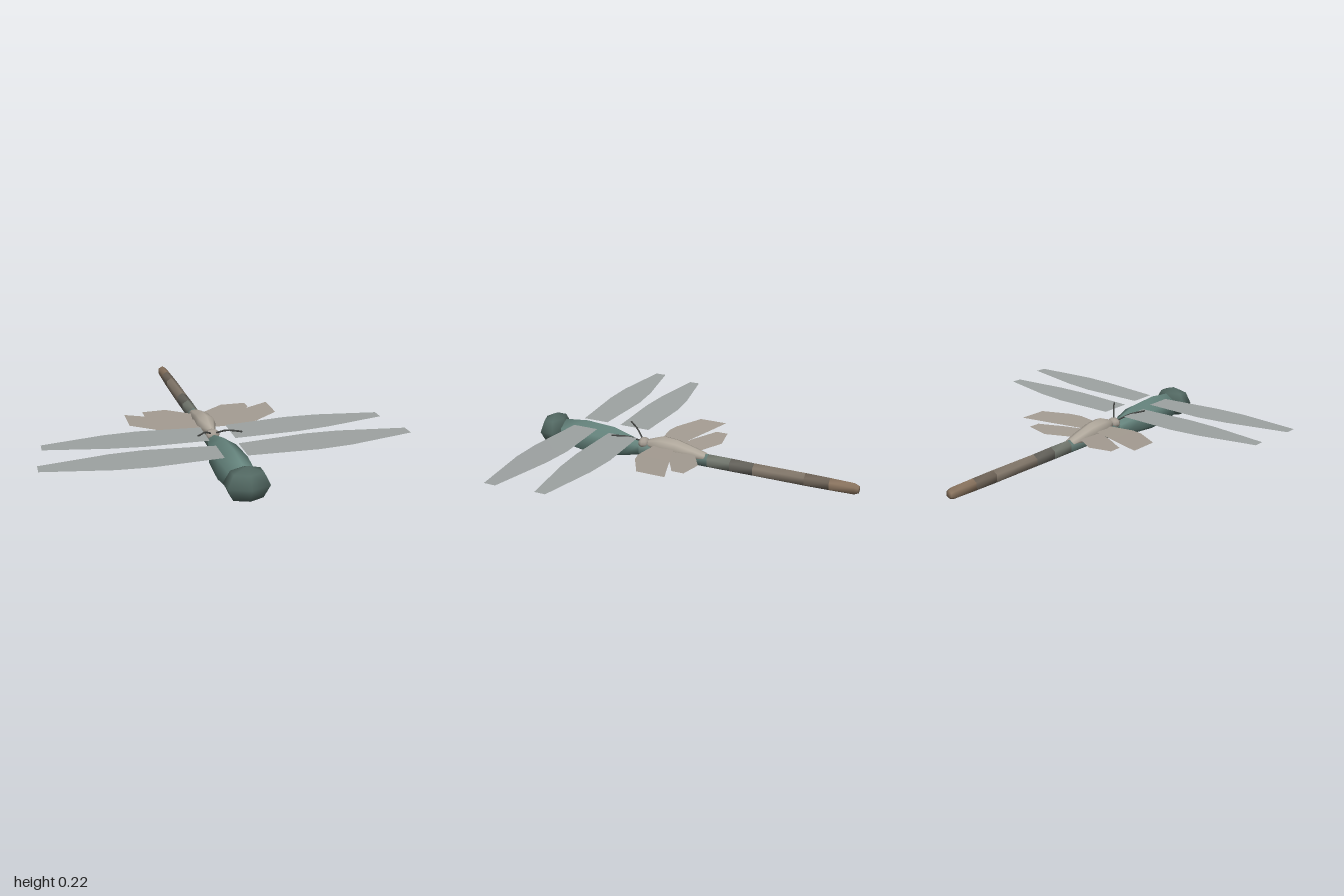
import * as THREE from 'three';

const TEAL = 0x66857e, DARK_TEAL = 0x526862, GLASS = 0x9ea3a2, BEIGE = 0xa59d93, DARK = 0x454745;

function indexed(positions, index) {
  const g = new THREE.BufferGeometry();
  g.setAttribute('position', new THREE.Float32BufferAttribute(positions, 3));
  g.setIndex(index);
  g.computeVertexNormals();
  return g;
}

// Skin over rings running front to back; each section is [z, centreY, radiusX, radiusY]
function loft(sections, sides = 6) {
  const pos = [], idx = [];
  for (const [z, cy, rx, ry] of sections)
    for (let i = 0; i < sides; i++) {
      const a = (i / sides) * Math.PI * 2;
      pos.push(rx * Math.sin(a), cy + ry * Math.cos(a), z);
    }
  for (let s = 0; s < sections.length - 1; s++)
    for (let i = 0; i < sides; i++) {
      const a = s * sides + i, b = s * sides + ((i + 1) % sides);
      idx.push(a, b, a + sides, b, b + sides, a + sides);
    }
  return indexed(pos, idx);
}

// Thin sheet over ribs; each rib is [x, y, backZ, frontZ]
function sheet(ribs) {
  const pos = [], idx = [];
  for (const [x, y, z0, z1] of ribs) pos.push(x, y, z0, x, y, (z0 + z1) / 2, x, y, z1);
  for (let r = 0; r < ribs.length - 1; r++)
    for (let k = 0; k < 2; k++) {
      const a = r * 3 + k, b = a + 3;
      idx.push(a, a + 1, b, a + 1, b + 1, b);
    }
  return indexed(pos, idx);
}

export function createModel() {
  const root = new THREE.Group();
  root.name = 'dragonflyWithButterfly';

  const add = (name, geometry, color, side = THREE.FrontSide) => {
    const mesh = new THREE.Mesh(geometry, new THREE.MeshStandardMaterial({ color, side }));
    mesh.name = name;
    root.add(mesh);
    return mesh;
  };
  const addPair = (name, geometry, color) => {
    add('left' + name, geometry, color, THREE.DoubleSide);
    add('right' + name, geometry, color, THREE.DoubleSide).scale.x = -1;
  };

  // Dragonfly head
  const head = add('dragonflyHead', new THREE.SphereGeometry(1, 6, 4).rotateY(Math.PI / 2), DARK_TEAL);
  head.scale.set(0.125, 0.095, 0.083);
  head.position.set(0, 0.13, 0.914);

  // Dragonfly thorax
  add('dragonflyThorax', loft([
    [0.84, 0.115, 0, 0], [0.835, 0.115, 0.078, 0.085], [0.68, 0.11, 0.092, 0.106],
    [0.5, 0.112, 0.085, 0.092], [0.4, 0.107, 0.06, 0.067], [0.32, 0.103, 0.037, 0.045],
  ]), TEAL);

  // Long abdomen, changing from teal to brown toward the tip
  const tail = [
    [0.32, 0.103, 0.037, 0.045], [0.1, 0.1, 0.034, 0.041], [-0.12, 0.101, 0.035, 0.041],
    [-0.26, 0.101, 0.036, 0.041], [-0.4, 0.1, 0.036, 0.039], [-0.55, 0.1, 0.036, 0.039],
    [-0.7, 0.1, 0.035, 0.039], [-0.84, 0.1, 0.032, 0.037], [-0.975, 0.1, 0.029, 0.034],
    [-1, 0.1, 0.022, 0.022], [-1, 0.1, 0, 0],
  ];
  const bands = [
    [0, 2, 0x67807a], [2, 3, 0x73786f], [3, 4, 0x64625b], [4, 6, 0x82776a], [6, 7, 0x6f6458], [7, 10, 0x8a745f],
  ];
  bands.forEach(([from, to, color], i) =>
    add('abdomenBand' + (i + 1), loft(tail.slice(from, to + 1)), color));

  // Dragonfly wings, rising slightly toward the tips
  addPair('DragonflyFrontWing', sheet([
    [0.06, 0.198, 0.58, 0.74], [0.43, 0.204, 0.555, 0.77], [0.61, 0.208, 0.57, 0.765], [0.97, 0.215, 0.64, 0.71],
  ]), GLASS);
  addPair('DragonflyRearWing', sheet([
    [0.07, 0.192, 0.305, 0.495], [0.42, 0.197, 0.285, 0.5], [0.6, 0.2, 0.3, 0.485], [0.93, 0.205, 0.365, 0.43],
  ]), GLASS);

  // Butterfly riding on the abdomen
  const smallHead = add('butterflyHead', new THREE.SphereGeometry(1, 8, 6), BEIGE);
  smallHead.scale.set(0.041, 0.032, 0.034);
  smallHead.position.set(0, 0.14, 0.298);

  add('butterflyBody', loft([
    [0.27, 0.14, 0, 0], [0.262, 0.142, 0.024, 0.027], [0.17, 0.145, 0.056, 0.057],
    [0.08, 0.142, 0.05, 0.052], [-0.03, 0.13, 0.04, 0.034], [-0.1, 0.122, 0.032, 0.02], [-0.11, 0.12, 0, 0],
  ], 8), 0xb0a89c);

  // Butterfly wings
  addPair('ButterflyForewing', sheet([
    [0.02, 0.148, 0.09, 0.21], [0.2, 0.155, 0.03, 0.23], [0.27, 0.158, 0.005, 0.212], [0.425, 0.166, -0.05, 0.12],
  ]), BEIGE);
  addPair('ButterflyHindwing', sheet([
    [0.02, 0.136, -0.04, 0.12], [0.17, 0.143, -0.13, 0.05], [0.25, 0.147, -0.117, 0.0], [0.31, 0.15, -0.108, -0.035],
  ]), BEIGE);

  // Butterfly antennae
  const feeler = new THREE.CatmullRomCurve3([
    new THREE.Vector3(0.015, 0.155, 0.315), new THREE.Vector3(0.06, 0.188, 0.37), new THREE.Vector3(0.12, 0.205, 0.447),
  ]);
  addPair('Antenna', new THREE.TubeGeometry(feeler, 6, 0.005, 5), DARK);

  return root;
}
